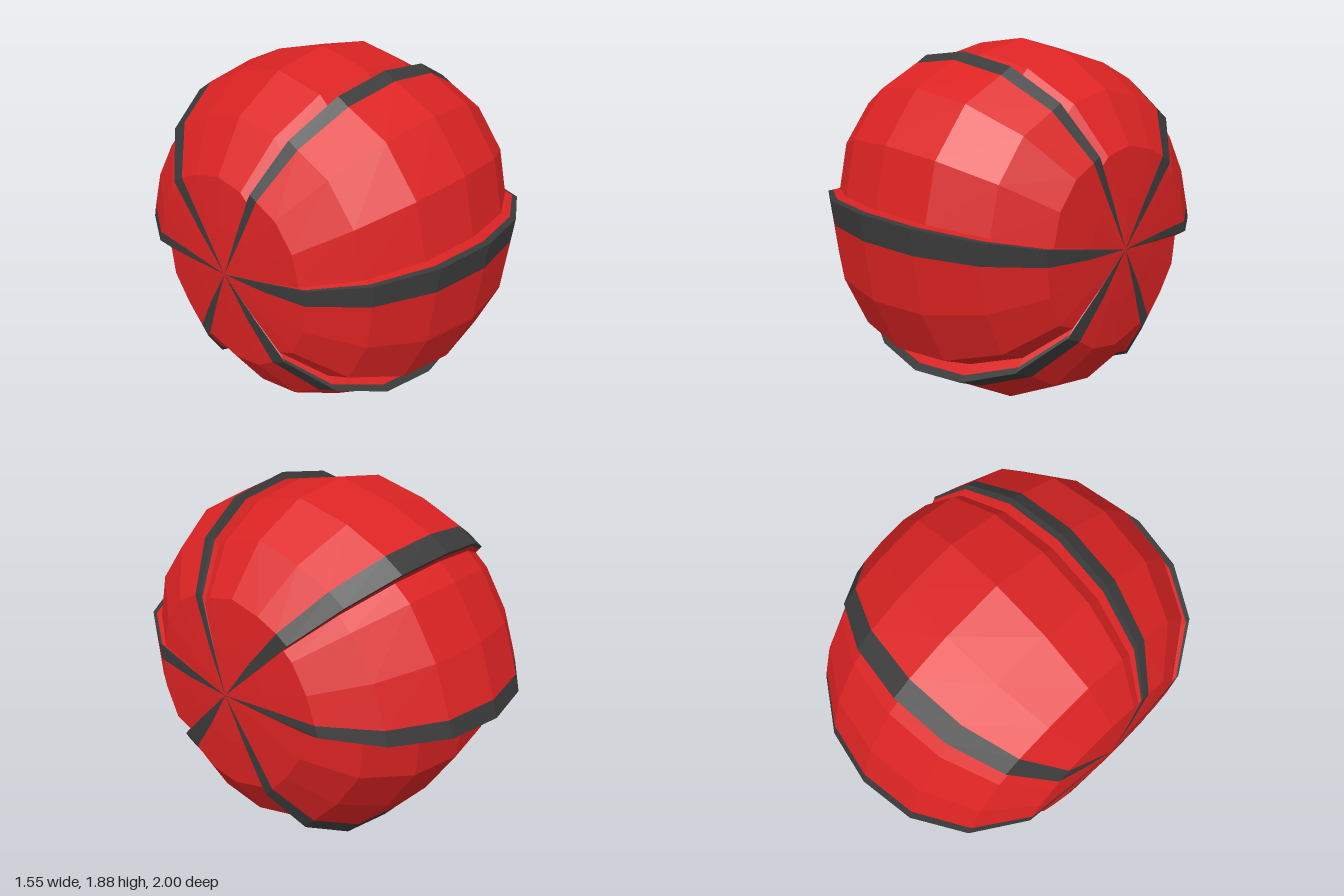
import * as THREE from 'three';

const red = new THREE.MeshStandardMaterial({ color: 0xdc2323 });
red.name = 'red shell';
const dark = new THREE.MeshStandardMaterial({ color: 0x3b3b3b });
dark.name = 'dark edging';

// Rim outline of the six overlapping plates as [z, y].
// The last two points of each plate bound its dark edging.
const PLATES = [
  [[0.31, 1.76], [0.24, 1.825], [-0.04, 1.88], [-0.34, 1.8], [-0.57, 1.69], [-0.67, 1.62]],
  [[-0.63, 1.57], [-0.72, 1.49], [-0.88, 1.23], [-0.97, 0.96], [-0.995, 0.87]],
  [[-0.82, 0.86], [-0.79, 0.58], [-0.62, 0.32], [-0.43, 0.11], [-0.36, 0.03]],
  [[-0.31, 0.09], [0.05, 0], [0.36, 0.06], [0.58, 0.21], [0.72, 0.28]],
  [[0.65, 0.36], [0.82, 0.44], [0.95, 0.73], [0.985, 1.035], [1.0, 1.17]],
  [[0.91, 1.17], [0.84, 1.46], [0.65, 1.7], [0.42, 1.81], [0.355, 1.845]],
];
const HUB = [0.04, 0.955];

// Meridian profile from pole to pole: [x, fraction of rim radius]
const HALF = [[0.775, 0], [0.76, 0.27], [0.738, 0.53], [0.57, 0.79], [0.305, 0.95]];
const PROFILE = [...HALF, [0, 1], ...HALF.map(([x, f]) => [-x, f]).reverse()];

// One meridian running through a rim point
function meridian([z, y]) {
  return PROFILE.map(([x, f]) =>
    new THREE.Vector3(x, HUB[1] + (y - HUB[1]) * f, HUB[0] + (z - HUB[0]) * f));
}

// Edging start line: tapers towards the poles more slowly than the plate
function edgingLine(start, end) {
  return meridian(end).map((p, j) => {
    const t = Math.pow(PROFILE[j][1], 0.75);
    return new THREE.Vector3(p.x, p.y + (start[1] - end[1]) * t, p.z + (start[0] - end[0]) * t);
  });
}

// Faceted skin across neighbouring meridians
function skin(columns, material, name) {
  const points = [];
  for (let i = 0; i < columns.length - 1; i++) {
    const a = columns[i], b = columns[i + 1];
    for (let j = 0; j < PROFILE.length - 1; j++) {
      if (PROFILE[j][1] > 0) points.push(a[j], b[j], a[j + 1]);
      if (PROFILE[j + 1][1] > 0) points.push(b[j], b[j + 1], a[j + 1]);
    }
  }
  const geometry = new THREE.BufferGeometry().setFromPoints(points);
  geometry.computeVertexNormals();
  const mesh = new THREE.Mesh(geometry, material);
  mesh.name = name;
  return mesh;
}

export function createModel() {
  const model = new THREE.Group();
  model.name = 'plated ball';
  PLATES.forEach((rim, k) => {
    const n = rim.length;
    const start = edgingLine(rim[n - 2], rim[n - 1]);
    const end = meridian(rim[n - 1]);
    const next = meridian(PLATES[(k + 1) % PLATES.length][0]);
    const lip = end.map((p, j) => p.clone().lerp(next[j], 0.4));

    const sector = new THREE.Group();
    sector.name = `plate sector ${k + 1}`;
    sector.add(
      skin([...rim.slice(0, n - 2).map(meridian), start], red, 'plate'),
      skin([start, end, lip], dark, 'edging'),
      // step down to the plate tucked underneath
      skin([lip, next], red, 'step'),
    );
    model.add(sector);
  });
  return model;
}
